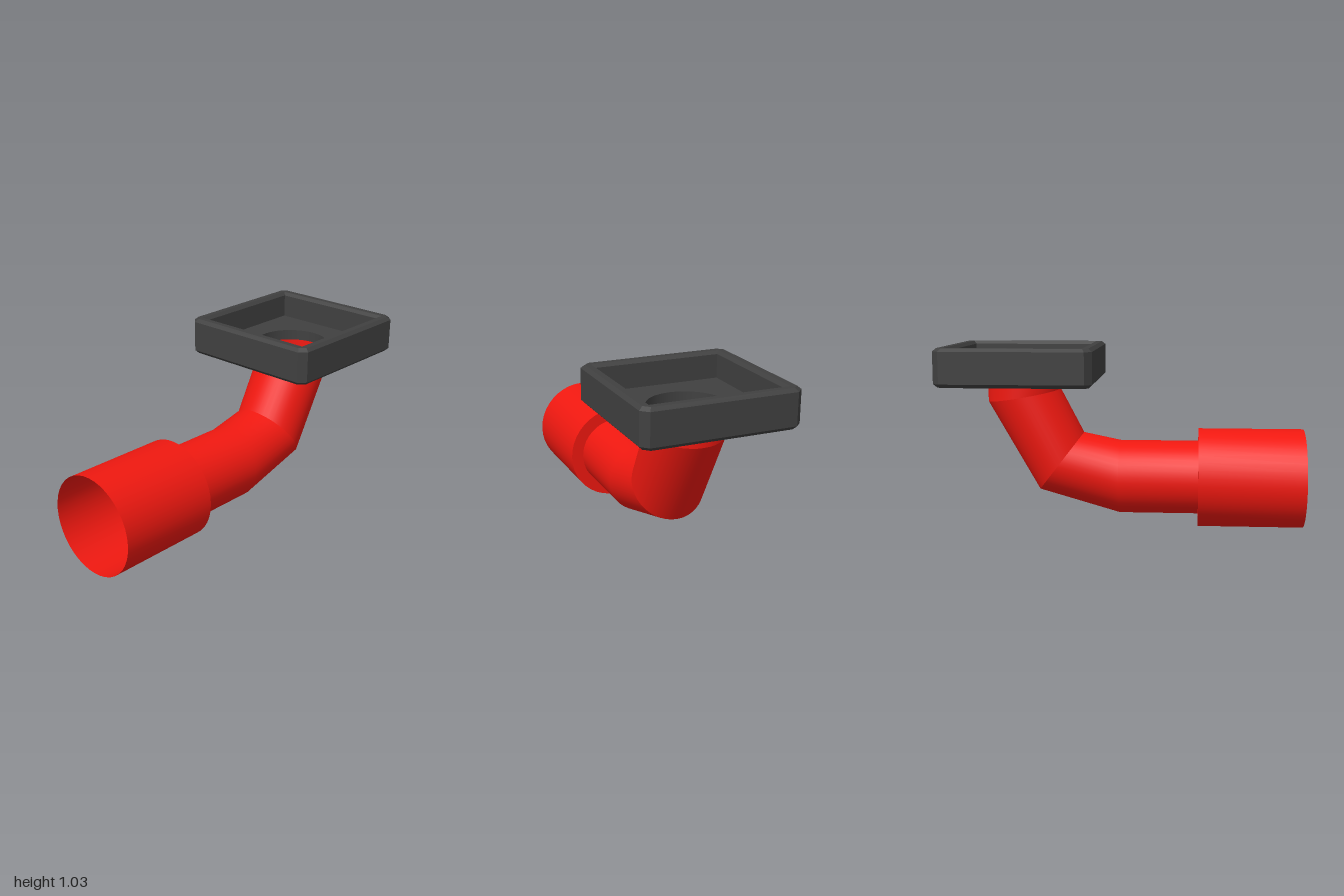
import * as THREE from 'three';
import { mergeGeometries } from 'three/addons/utils/BufferGeometryUtils.js';

const SIDES = 40;
const PIPE_R = 0.207;
const TRAY_Z = -0.576;

// Skin a series of closed loops (arrays of Vector3 with equal length)
function skin(loops) {
  const n = loops[0].length, index = [];
  for (let k = 0; k < loops.length - 1; k++) {
    for (let i = 0; i < n; i++) {
      const a = k * n + i, b = k * n + (i + 1) % n;
      index.push(a, a + n, b, b, a + n, b + n);
    }
  }
  const geo = new THREE.BufferGeometry().setFromPoints(loops.flat());
  geo.setIndex(index);
  geo.computeVertexNormals();
  return geo;
}

// Pipe section: centre (y, z), x radius r, and the half vector (uy, uz) to its top
function ring(y, z, r, uy = r, uz = 0) {
  return Array.from({ length: SIDES }, (_, i) => {
    const a = i / SIDES * Math.PI * 2, s = Math.sin(a);
    return new THREE.Vector3(r * Math.cos(a), y + uy * s, z + uz * s);
  });
}

// Square loop with cut corners, lying flat at height y
function squareLoop(h, cut, y) {
  const k = h - cut;
  return [[h, -k], [h, k], [k, h], [-k, h], [-h, k], [-h, -k], [-k, -h], [k, -h]]
    .map(([x, z]) => new THREE.Vector3(x, y, z));
}

// Flat square plate with a round hole
function plate(h, cut, y, facing) {
  const shape = new THREE.Shape(squareLoop(h, cut, 0).map(p => new THREE.Vector2(p.x, p.z)));
  shape.holes.push(new THREE.Path().absarc(0, 0, PIPE_R, 0, Math.PI * 2, true));
  return new THREE.ShapeGeometry(shape, SIDES / 2).rotateX(-facing * Math.PI / 2).translate(0, y, 0);
}

export function createModel() {
  const model = new THREE.Group();
  const red = new THREE.MeshStandardMaterial({ color: 0xf01810, side: THREE.DoubleSide });
  const grey = new THREE.MeshStandardMaterial({ color: 0x404040, side: THREE.DoubleSide });
  const greyFlat = grey.clone();
  greyFlat.flatShading = true;
  const add = (name, geo, material, parent = model) => {
    const mesh = new THREE.Mesh(geo, material);
    mesh.name = name;
    parent.add(mesh);
    return mesh;
  };

  // Wide socket with a shoulder stepping down to the pipe
  const mouth = ring(0.28, 1, 0.278), back = ring(0.28, 0.412, 0.278);
  const start = ring(0.28, 0.412, PIPE_R);
  add('socket', mergeGeometries([skin([mouth, back]), skin([back, start])]), red);

  // Bent pipe: soft first bend, sharp elbow, then up into the tray
  const bend = ring(0.28, -0.03, PIPE_R);
  const elbow = ring(0.3675, -0.365, PIPE_R, 0.1625, 0.125);
  const neck = ring(0.745, TRAY_Z, PIPE_R, 0.035, 0.205);
  const top = ring(0.82, TRAY_Z, PIPE_R, 0, PIPE_R);
  add('bentPipe', mergeGeometries([
    skin([start, bend, elbow]), skin([elbow, neck]), skin([neck, top]),
  ]), red);

  // Square tray with bevelled edges, recess and drain hole
  const tray = new THREE.Group();
  tray.name = 'tray';
  tray.position.z = TRAY_Z;
  model.add(tray);
  const profile = [
    [0.405, 0.03, 0.82], [0.425, 0.038, 0.84], [0.425, 0.038, 1.013], [0.405, 0.03, 1.03],
    [0.372, 0, 1.03], [0.355, 0, 1.013], [0.355, 0, 0.88],
  ];
  add('trayWalls', skin(profile.map(p => squareLoop(...p))), greyFlat, tray);
  add('trayUnderside', plate(0.405, 0.03, 0.82, -1), grey, tray);
  add('trayFloor', plate(0.355, 0, 0.88, 1), grey, tray);
  const hole = add('drainHole', new THREE.CylinderGeometry(PIPE_R, PIPE_R, 0.06, SIDES, 1, true), grey, tray);
  hole.position.y = 0.85;

  return model;
}
